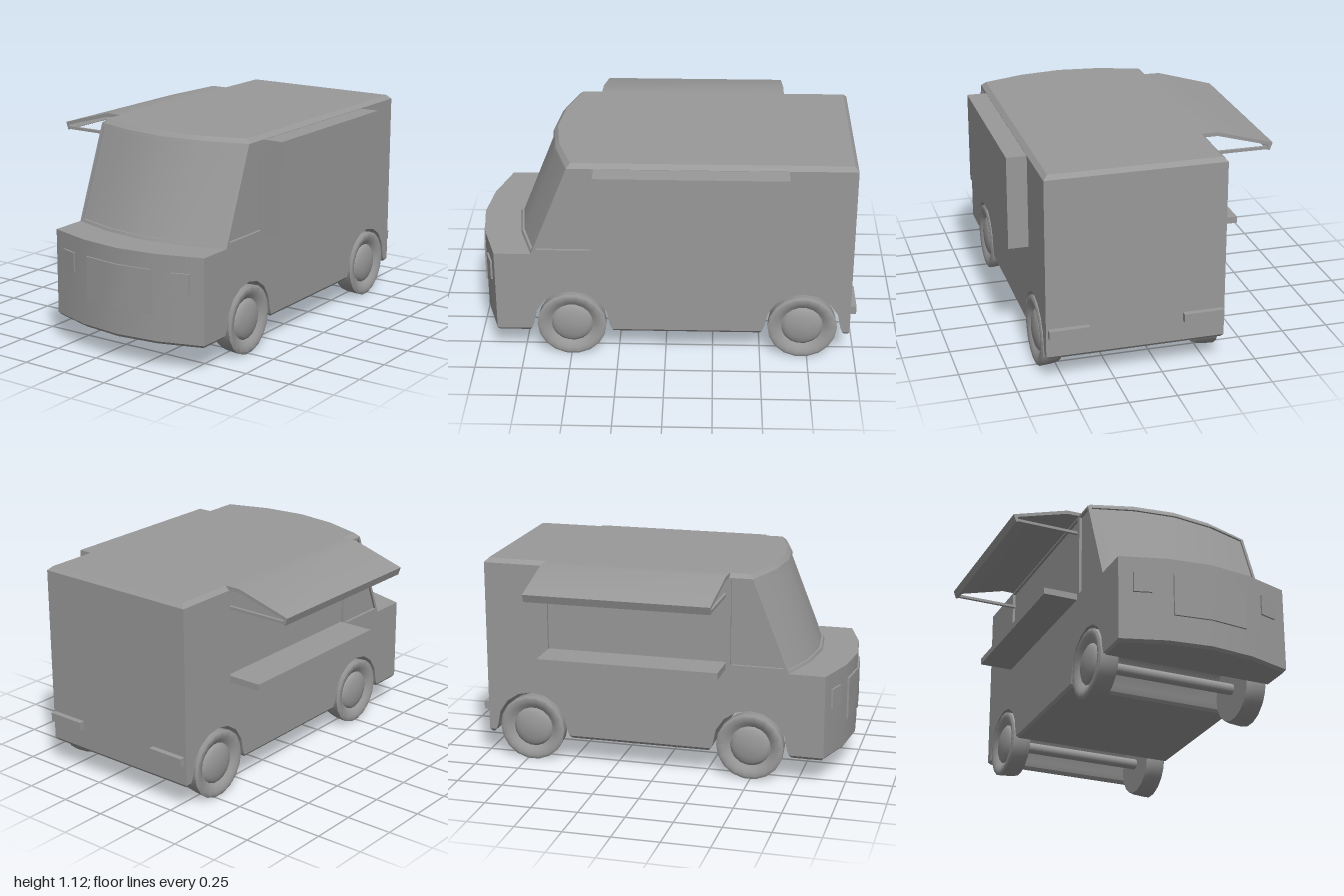
import * as THREE from 'three';
import { toCreasedNormals } from 'three/addons/utils/BufferGeometryUtils.js';

const CX = 0.13, HALF = 0.465; // body centre line and half width
const LEFT = CX + HALF, RIGHT = CX - HALF;
const AXLES = [-0.72, 0.495];
const GLASS_FOOT = 0.797, GLASS_SLOPE = 0.398;
const material = new THREE.MeshStandardMaterial({ color: 0x999999, side: THREE.DoubleSide });

// Plan curve of the nose: four straight facets, swept back towards the sides
function bow(x) {
  const t = Math.min(Math.abs(x - CX) / HALF, 1);
  return t < 0.5 ? -0.054 * t : -0.027 - 0.146 * (t - 0.5);
}

function moveVertices(geo, rule) {
  const p = geo.attributes.position, v = new THREE.Vector3();
  for (let i = 0; i < p.count; i++) {
    rule(v.fromBufferAttribute(p, i));
    p.setXYZ(i, v.x, v.y, v.z);
  }
  return geo;
}

const polygon = (pts, Type = THREE.Shape) => new Type(pts.map(([x, y]) => new THREE.Vector2(x, y)));

// Side profile of the body, with the wheel arches cut through the sill
function sideProfile(glassInset) {
  const pts = [[-0.97, 0.155]];
  for (const z of AXLES) {
    pts.push([z - 0.212, 0.155]);
    for (let i = 0; i <= 8; i++) {
      const a = Math.PI * (1 - i / 8);
      pts.push([z + 0.2 * Math.cos(a), 0.185 + 0.2 * Math.sin(a)]);
    }
    pts.push([z + 0.212, 0.155]);
  }
  pts.push([0.99, 0.155], [0.99, 0.605], [GLASS_FOOT - glassInset, 0.605],
    [0.6 - glassInset, 1.1], [-0.97, 1.1]);
  return polygon(pts);
}

// Extrude a (z, y) shape across x and bow its nose and windshield
function acrossX(shape, x0, x1, steps) {
  const geo = new THREE.ExtrudeGeometry(shape, { depth: x1 - x0, steps, bevelEnabled: false });
  geo.rotateY(-Math.PI / 2).translate(x1, 0, 0);
  moveVertices(geo, v => {
    const onGlass = v.z > 0.55 && (Math.abs(v.y - 0.605) < 0.005 || v.y > 1.095);
    if (v.z > 0.75 || onGlass) v.z += bow(v.x);
  });
  return toCreasedNormals(geo, 0.5);
}

export function createModel() {
  const group = new THREE.Group();
  const add = (name, geo) => {
    const mesh = new THREE.Mesh(geo, material);
    mesh.name = name;
    group.add(mesh);
    return mesh;
  };
  const boxGeo = (x0, x1, y0, y1, z0, z1, seg = 1) =>
    new THREE.BoxGeometry(x1 - x0, y1 - y0, z1 - z0, seg, 1, 1)
      .translate((x0 + x1) / 2, (y0 + y1) / 2, (z0 + z1) / 2);
  const box = (name, ...size) => add(name, boxGeo(...size));

  // Body core and side panels with recessed windows and serving hatch
  const skin = 0.015;
  add('body', acrossX(sideProfile(0.012), RIGHT + skin, LEFT - skin, 4));
  const cabWindow = [[0.675, 0.63], [0.385, 0.63], [0.385, 1.088], [0.5, 1.088]];
  const hatch = [[-0.62, 0.64], [-0.62, 1.09], [0.36, 1.09], [0.36, 0.64]];
  for (const [name, x0, holes] of [
    ['leftSidePanel', LEFT - skin, [cabWindow]],
    ['rightSidePanel', RIGHT, [cabWindow, hatch]],
  ]) {
    const shape = sideProfile(0);
    shape.holes = holes.map(h => polygon(h, THREE.Path));
    add(name, acrossX(shape, x0, x0 + skin, 1));
  }

  // Chamfered sills below the body, between the wheel arches
  for (const [z0, z1] of [[-0.97, AXLES[0] - 0.212],
    [AXLES[0] + 0.212, AXLES[1] - 0.212], [AXLES[1] + 0.212, 0.99]]) {
    const sill = moveVertices(boxGeo(RIGHT, LEFT, 0.14, 0.155, z0, z1, 4), v => {
      const inset = v.y < 0.15 ? 0.012 : 0;
      const nose = v.z > 0.75 ? bow(v.x) : 0;
      v.z += nose + (v.z > (z0 + z1) / 2 ? -inset : inset);
      v.x = CX + (v.x - CX) * (1 - inset / HALF);
    });
    add('sill', toCreasedNormals(sill, 0.4));
  }

  // Roof cap with chamfered edges
  const roof = [[RIGHT, 0.97], [LEFT, 0.97]];
  for (let i = 4; i >= 0; i--) {
    const x = RIGHT + (i / 4) * 2 * HALF;
    roof.push([x, -(0.6 + bow(x))]);
  }
  const roofGeo = new THREE.ExtrudeGeometry(polygon(roof), { depth: 0.022, bevelEnabled: false });
  roofGeo.rotateX(-Math.PI / 2).translate(0, 1.1, 0);
  moveVertices(roofGeo, v => {
    if (v.y > 1.11) {
      v.x = CX + (v.x - CX) * 0.95;
      v.z -= 0.02 * Math.sign(v.z);
    }
  });
  add('roof', toCreasedNormals(roofGeo, 0.3));

  // Windshield frame: bars leaned back and bowed with the nose
  const frameBar = (name, x0, x1, y0, y1, seg) => add(name, toCreasedNormals(
    moveVertices(boxGeo(x0, x1, y0, y1, -0.016, 0, seg), v => {
      v.z += GLASS_FOOT - (v.y - 0.605) * GLASS_SLOPE + bow(v.x);
    }), 0.4));
  frameBar('windshieldSill', RIGHT, LEFT, 0.605, 0.62, 4);
  frameBar('windshieldHeader', RIGHT, LEFT, 1.085, 1.1, 4);
  frameBar('windshieldPillarRight', RIGHT, RIGHT + 0.018, 0.605, 1.1, 1);
  frameBar('windshieldPillarLeft', LEFT - 0.018, LEFT, 0.605, 1.1, 1);

  // Grille and headlights follow the bowed nose
  const nosePlate = (name, x0, x1, y0, y1, seg) => add(name, toCreasedNormals(
    moveVertices(boxGeo(x0, x1, y0, y1, 0.97, 1.0, seg), v => { v.z += bow(v.x); }), 0.4));
  nosePlate('grille', CX - 0.2, CX + 0.2, 0.295, 0.523, 4);
  for (const s of [-1, 1]) {
    nosePlate('headlight', CX + s * 0.35 - 0.045, CX + s * 0.35 + 0.045, 0.41, 0.518, 1);
    box('rearLight', CX + s * 0.35 - 0.105, CX + s * 0.35 + 0.105, 0.265, 0.31, -1.0, -0.96);
  }

  // Side storage box, serving counter
  box('sideBox', LEFT - 0.01, 0.7, 0.607, 1.098, -0.622, 0.363);
  box('counter', -0.52, RIGHT + skin, 0.605, 0.64, -0.62, 0.36);

  // Awning with a turned-down lip, slightly wider at the hinge, on two struts
  const awning = polygon([[-0.3, 1.122], [-0.4, 1.122], [-0.7, 1.037], [-0.685, 0.995],
    [-0.668, 1.002], [-0.678, 1.025], [-0.4, 1.102], [-0.3, 1.102]]);
  const awningGeo = new THREE.ExtrudeGeometry(awning, { depth: 0.985, bevelEnabled: false })
    .translate(0, 0, -0.625);
  moveVertices(awningGeo, v => { if (v.z > 0) v.z += 0.04 * (v.x + 0.7); });
  add('awning', toCreasedNormals(awningGeo, 0.4));
  for (const z of [-0.62, 0.345]) box('awningStrut', -0.685, RIGHT + skin, 1.0, 1.015, z, z + 0.015);

  // Wheels: tyre, dished sidewall and domed hub turned in one profile
  const wheelProfile = [[0, 0.005], [0.17, 0.005], [0.178, 0.04], [0.183, 0.108], [0.17, 0.115],
    [0.15, 0.113], [0.13, 0.104], [0.11, 0.09], [0.105, 0.097], [0.09, 0.106], [0.065, 0.113],
    [0.035, 0.118], [0, 0.12]].map(([r, h]) => new THREE.Vector2(r, h));
  const wheelGeo = toCreasedNormals(new THREE.LatheGeometry(wheelProfile, 18), 0.6);
  wheelGeo.rotateZ(-Math.PI / 2);
  for (const z of AXLES) {
    for (const s of [-1, 1]) {
      const wheel = add(z > 0 ? 'frontWheel' : 'rearWheel', wheelGeo);
      wheel.position.set(CX + s * 0.357, 0.183, z);
      wheel.rotation.y = s < 0 ? Math.PI : 0;
    }
    const axle = add('axle', new THREE.CylinderGeometry(0.03, 0.03, 0.74, 16));
    axle.rotation.z = Math.PI / 2;
    axle.position.set(CX, 0.183, z);
  }
  return group;
}
